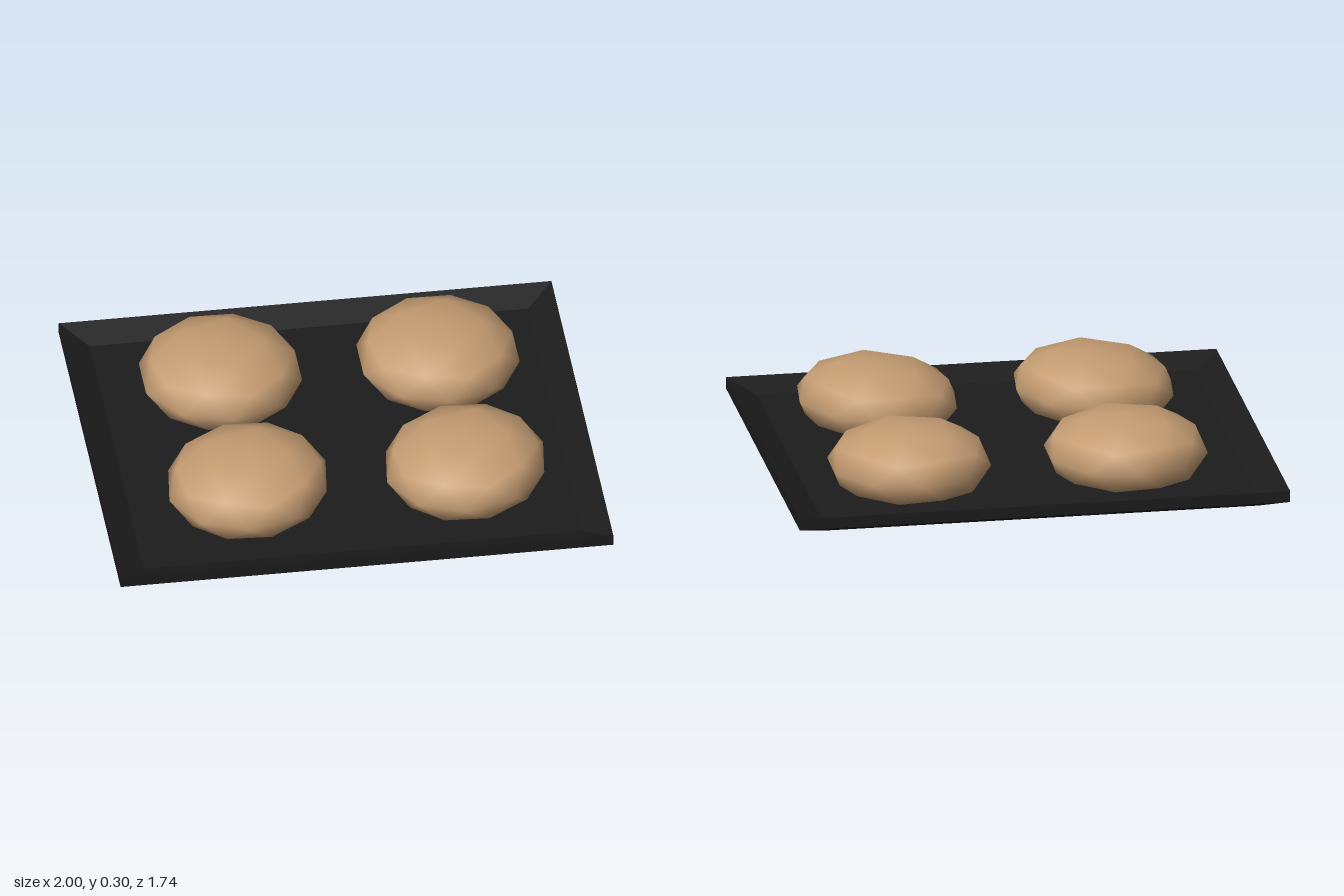
import * as THREE from 'three';
import { mergeVertices } from 'three/addons/utils/BufferGeometryUtils.js';

const blackMetal = new THREE.MeshStandardMaterial({ color: 0x1c1c1c });
blackMetal.name = 'black metal';
const bakedDough = new THREE.MeshStandardMaterial({ color: 0xc49c72 });
bakedDough.name = 'baked dough';

// Thick tray: rectangular rings from underside, round the rim, to the inner floor
function trayGeometry() {
  const rings = [[0.89, 0, 0.76], [1, 0.047, 0.87], [1, 0.093, 0.87], [0.89, 0.047, 0.76]];
  const corners = [[-1, 1], [1, 1], [1, -1], [-1, -1]];
  const at = (r, c) => {
    const [x, y, z] = rings[r];
    const [sx, sz] = corners[c % 4];
    return [x * sx, y, z * sz];
  };
  const pos = [];
  const quad = (a, b, c, d) => pos.push(...a, ...b, ...c, ...a, ...c, ...d);
  quad(at(0, 3), at(0, 2), at(0, 1), at(0, 0));
  for (let r = 0; r < 3; r++) {
    for (let c = 0; c < 4; c++) quad(at(r, c), at(r, c + 1), at(r + 1, c + 1), at(r + 1, c));
  }
  quad(at(3, 0), at(3, 1), at(3, 2), at(3, 3));
  const geo = new THREE.BufferGeometry();
  geo.setAttribute('position', new THREE.Float32BufferAttribute(pos, 3));
  geo.computeVertexNormals();
  return geo;
}

// Squashed icosphere with a flattened crown and a flat underside
function bunGeometry() {
  let geo = new THREE.IcosahedronGeometry(1, 1);
  geo.rotateX(-Math.atan2((1 + Math.sqrt(5)) / 2, 1));
  geo.rotateY(Math.PI / 10);
  geo.scale(0.333, 0.165, 0.333);
  const p = geo.attributes.position;
  for (let i = 0; i < p.count; i++) {
    p.setY(i, THREE.MathUtils.clamp(p.getY(i), -0.1, 0.154));
  }
  geo.deleteAttribute('normal');
  geo.deleteAttribute('uv');
  geo = mergeVertices(geo, 1e-4);
  geo.computeVertexNormals();
  return geo;
}

export function createModel() {
  const model = new THREE.Group();
  model.name = 'bunTray';

  const tray = new THREE.Mesh(trayGeometry(), blackMetal);
  tray.name = 'tray';
  model.add(tray);

  // Two rows of buns; the front row is turned and slightly tilted
  const bun = bunGeometry();
  const rows = [
    { name: 'backBun', y: 0.141, z: -0.388, turn: 0, tilt: 0 },
    { name: 'frontBun', y: 0.151, z: 0.371, turn: -0.12, tilt: 0.06 },
  ];
  for (const row of rows) {
    for (const [side, x] of [['Right', -0.413], ['Left', 0.47]]) {
      const mesh = new THREE.Mesh(bun, bakedDough);
      mesh.name = row.name + side;
      mesh.position.set(x, row.y, row.z);
      mesh.rotation.set(0, row.turn, row.tilt, 'ZYX');
      model.add(mesh);
    }
  }
  return model;
}
